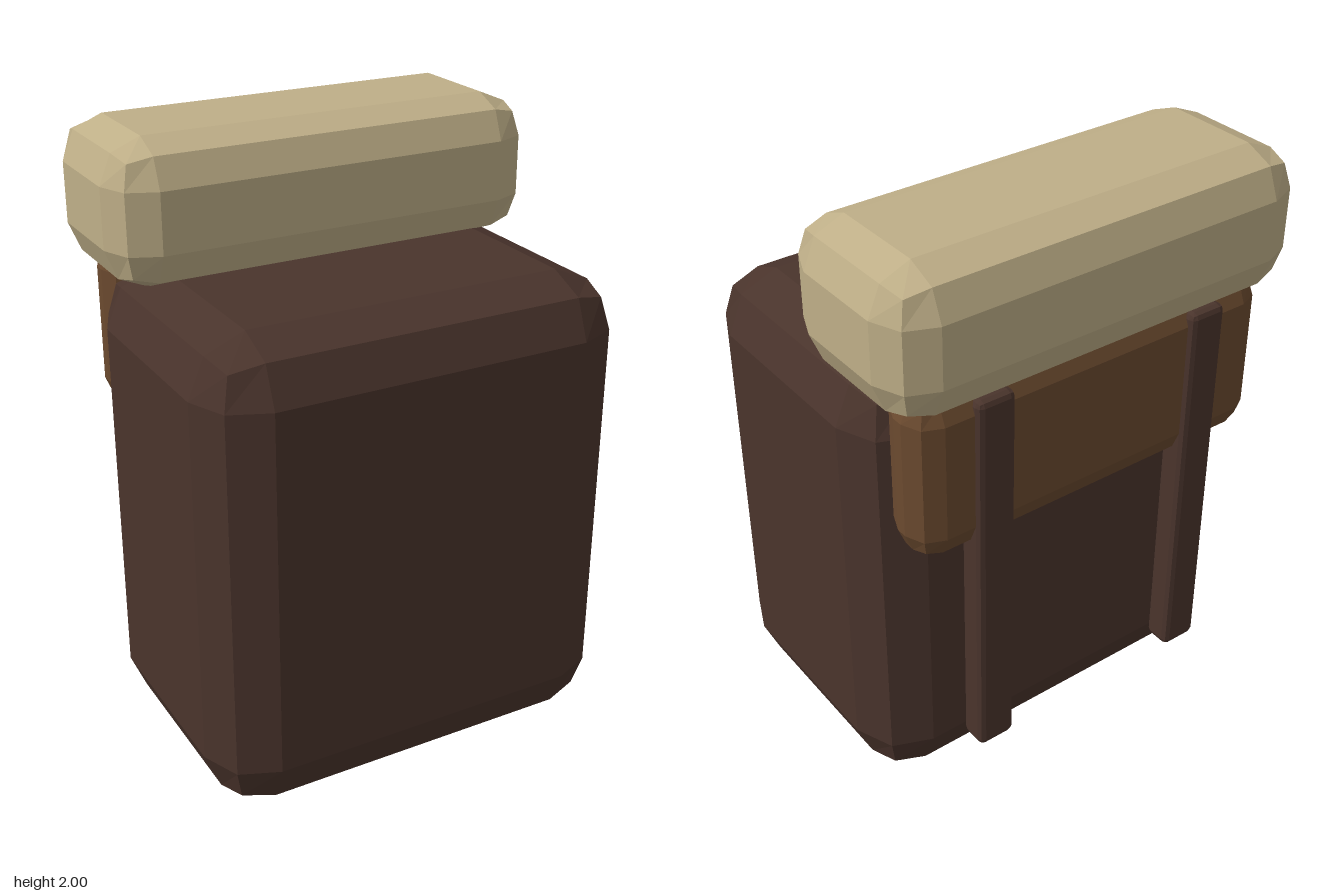
import * as THREE from 'three';
import { RoundedBoxGeometry } from 'three/addons/geometries/RoundedBoxGeometry.js';

const material = (name, color) => {
  const m = new THREE.MeshStandardMaterial({ color, flatShading: true });
  m.name = name;
  return m;
};

export function createModel() {
  const group = new THREE.Group();
  group.name = 'backpack';

  const darkLeather = material('dark leather', 0x4a342c);
  const tanLeather = material('tan leather', 0x6b4a2f);
  const canvas = material('canvas', 0xbfaf88);

  // Box with low-poly rounded edges, given by its size, centre and edge radius
  const softBox = (name, mat, [w, h, d], [x, y, z], radius) => {
    const mesh = new THREE.Mesh(new RoundedBoxGeometry(w, h, d, 1, radius), mat);
    mesh.name = name;
    mesh.position.set(x, y, z);
    group.add(mesh);
  };

  // Main bag
  softBox('bag', darkLeather, [1.41, 1.57, 0.98], [0, 0.785, 0.1], 0.18);

  // Rolled blanket across the top
  softBox('bedroll', canvas, [1.45, 0.465, 0.587], [0, 1.767, -0.293], 0.135);

  // Flap on the back
  softBox('flap', tanLeather, [1.28, 0.56, 0.21], [0, 1.317, -0.432], 0.087);

  // Pair of straps over the flap
  for (const side of [1, -1]) {
    softBox(side > 0 ? 'leftStrap' : 'rightStrap', darkLeather,
      [0.13, 1.316, 0.096], [side * 0.39, 0.897, -0.509], 0.02);
  }

  return group;
}
